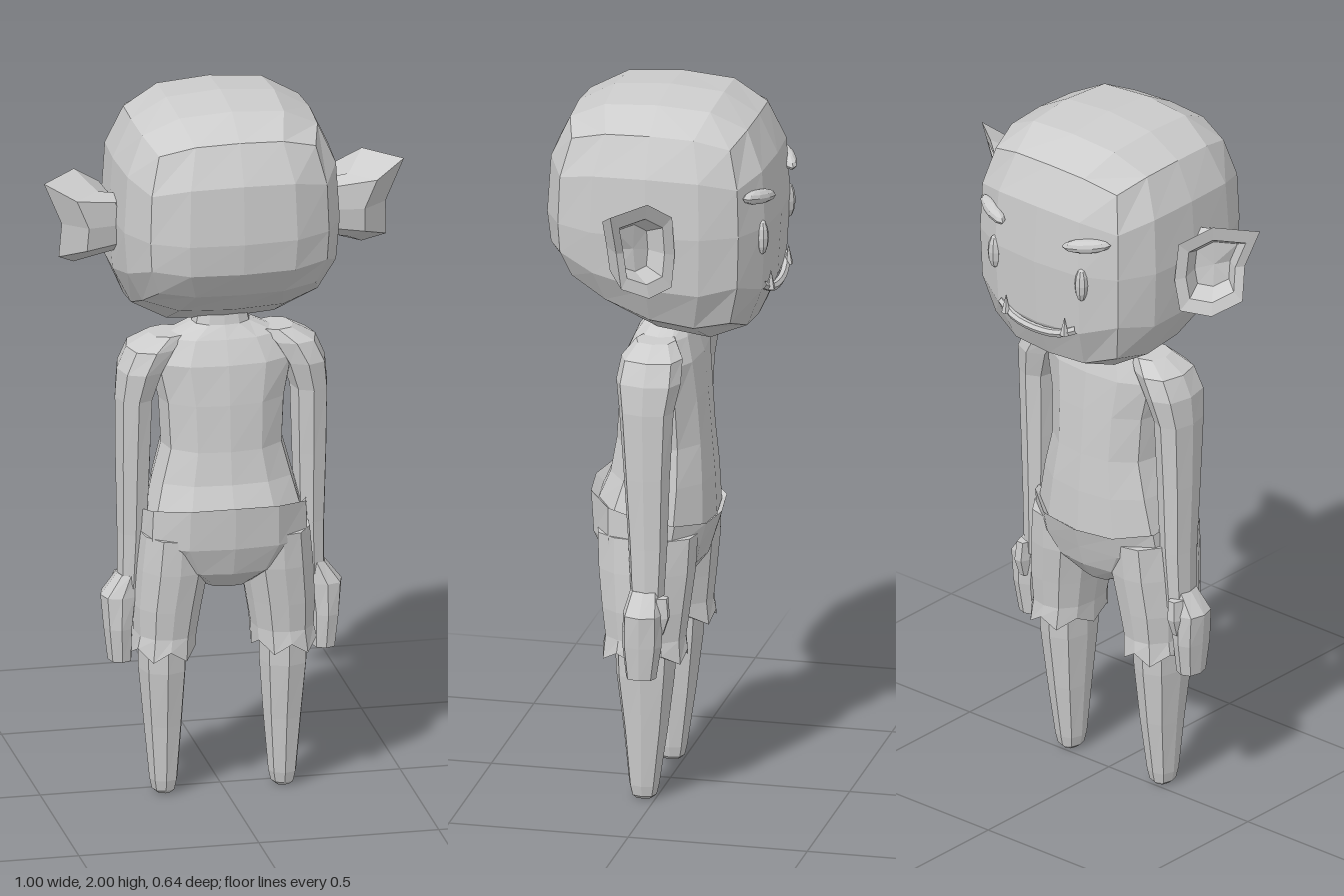
import * as THREE from 'three';
import { mergeVertices } from 'three/addons/utils/BufferGeometryUtils.js';

const V = (x, y, z) => new THREE.Vector3(x, y, z);

// Faceted normals
function flat(geo) {
  const g = geo.index ? geo.toNonIndexed() : geo;
  g.computeVertexNormals();
  return g;
}

// Rounded-square cross-section; tilt raises the +z side
function ring(x, y, z, rx, rz, tilt = 0, zigzag = 0, n = 12) {
  const pts = [];
  for (let i = 0; i < n; i++) {
    const a = (i / n) * Math.PI * 2;
    const c = Math.cos(a), s = Math.sin(a);
    const k = Math.pow(Math.abs(c) ** 2.5 + Math.abs(s) ** 2.5, -1 / 2.5);
    pts.push(V(x + rx * c * k, y + tilt * s + (i % 2 ? zigzag : -zigzag), z + rz * s * k));
  }
  return pts;
}

// Closed skin through a list of cross-sections, always facing outward
function loft(rings) {
  const tris = [], n = rings[0].length;
  const mid = (r) => r.reduce((m, p) => m.add(p), V(0, 0, 0)).divideScalar(n);
  const first = mid(rings[0]), last = mid(rings[rings.length - 1]);
  for (let j = 0; j < n; j++) {
    const k = (j + 1) % n;
    tris.push([first, rings[0][k], rings[0][j]]);
    for (let i = 0; i < rings.length - 1; i++) {
      const a = rings[i], b = rings[i + 1];
      tris.push([a[j], a[k], b[k]], [a[j], b[k], b[j]]);
    }
    const e = rings[rings.length - 1];
    tris.push([last, e[j], e[k]]);
  }
  let volume = 0;
  for (const [a, b, c] of tris) volume += a.dot(b.clone().cross(c));
  const pts = tris.flatMap(([a, b, c]) => (volume > 0 ? [a, b, c] : [a, c, b]));
  return flat(new THREE.BufferGeometry().setFromPoints(pts));
}

export function createModel() {
  const model = new THREE.Group();
  const clay = new THREE.MeshStandardMaterial({ color: 0xcccccc });
  clay.name = 'clay grey';

  const add = (name, geo) => {
    const mesh = new THREE.Mesh(geo, clay);
    mesh.name = name;
    model.add(mesh);
    return mesh;
  };

  // Head: a cube rounded by a power rule, with the back of the jaw swept up
  let head = new THREE.BoxGeometry(2, 2, 2, 4, 4, 4);
  head.deleteAttribute('normal');
  head.deleteAttribute('uv');
  head = mergeVertices(head);
  const pos = head.attributes.position;
  for (let i = 0; i < pos.count; i++) {
    const c = V(0, 0, 0).fromBufferAttribute(pos, i);
    const p = 3.1;
    c.divideScalar((Math.abs(c.x) ** p + Math.abs(c.y) ** p + Math.abs(c.z) ** p) ** (1 / p));
    const low = Math.max(0, -c.y);
    const jaw = low * c.z * (c.z > 0 ? 0.14 : 0.07);
    pos.setXYZ(i, c.x * 0.31, 1.66 + c.y * (c.y > 0 ? 0.34 : 0.32) + jaw, c.z * (c.z > 0 ? 0.32 : 0.31));
  }
  add('head', flat(head));

  // Torso and neck
  add('torso', loft([
    ring(0, 1.4, 0, 0.065, 0.05),
    ring(0, 1.34, 0, 0.08, 0.06),
    ring(0, 1.305, 0.005, 0.16, 0.08),
    ring(0, 1.24, 0.01, 0.2, 0.105),
    ring(0, 1.13, 0.012, 0.175, 0.118),
    ring(0, 1.0, 0.012, 0.168, 0.128),
    ring(0, 0.9, 0.015, 0.195, 0.14, 0.01),
    ring(0, 0.8, 0.03, 0.22, 0.16, 0.03),
  ]));

  // Shorts: seat with a sloping waistband
  add('shortsSeat', loft([
    ring(0, 0.8, 0.03, 0.215, 0.155, 0.04),
    ring(0, 0.82, 0.032, 0.232, 0.176, 0.04),
    ring(0, 0.73, 0.037, 0.236, 0.162, 0.01),
    ring(0, 0.66, 0.033, 0.17, 0.14),
    ring(0, 0.605, 0.025, 0.07, 0.09),
  ]));

  for (const s of [1, -1]) {
    const side = s > 0 ? 'left' : 'right';
    const R = (x, ...rest) => ring(s * x, ...rest);

    // Shorts leg with a jagged cuff
    add(side + 'ShortsLeg', loft([
      R(0.14, 0.76, 0.03, 0.095, 0.14),
      R(0.145, 0.66, 0.03, 0.1, 0.135),
      R(0.158, 0.55, 0.03, 0.093, 0.122),
      R(0.163, 0.47, 0.03, 0.085, 0.112),
      R(0.168, 0.42, 0.03, 0.088, 0.118, 0, 0.015),
      R(0.168, 0.43, 0.03, 0.066, 0.085),
    ]));

    // Tapering leg
    add(side + 'Leg', loft([
      R(0.168, 0.48, 0.028, 0.068, 0.088, 0, 0, 8),
      R(0.168, 0.36, 0.03, 0.066, 0.082, 0, 0, 8),
      R(0.166, 0.2, 0.03, 0.053, 0.062, 0, 0, 8),
      R(0.165, 0.04, 0.034, 0.039, 0.042, 0, 0, 8),
      R(0.165, 0.01, 0.034, 0.032, 0.035, 0, 0, 8),
      R(0.165, 0, 0.034, 0.02, 0.024, 0, 0, 8),
    ]));

    // Arm with sloping shoulder
    add(side + 'Arm', loft([
      R(0.15, 1.315, 0.005, 0.05, 0.055, 0, 0, 8),
      R(0.195, 1.28, 0.005, 0.068, 0.085, 0, 0, 8),
      R(0.226, 1.22, 0.008, 0.063, 0.09, 0, 0, 8),
      R(0.243, 1.14, 0.01, 0.052, 0.076, 0, 0, 8),
      R(0.245, 0.95, 0.008, 0.048, 0.064, 0, 0, 8),
      R(0.246, 0.75, 0.005, 0.042, 0.054, 0, 0, 8),
      R(0.252, 0.58, 0.005, 0.036, 0.045, 0, 0, 8),
    ]));

    // Hand and thumb
    add(side + 'Hand', loft([
      R(0.258, 0.63, 0.008, 0.03, 0.042, 0, 0, 8),
      R(0.285, 0.57, 0.01, 0.05, 0.055, 0, 0, 8),
      R(0.287, 0.48, 0.012, 0.04, 0.055, 0, 0, 8),
      R(0.283, 0.385, 0.015, 0.033, 0.042, 0, 0, 8),
    ]));
    add(side + 'Thumb', loft([
      R(0.272, 0.615, -0.03, 0.02, 0.028, 0, 0, 6),
      R(0.275, 0.56, -0.035, 0.022, 0.028, 0, 0, 6),
      R(0.275, 0.51, -0.028, 0.015, 0.018, 0, 0, 6),
    ]));

    // Pointed ear: hollow, rim and back joined to the head
    const rim = [
      V(0.5, 1.78, 0.05), V(0.4, 1.79, -0.03), V(0.32, 1.73, -0.08), V(0.31, 1.62, -0.085),
      V(0.325, 1.53, -0.08), V(0.4, 1.52, -0.035), V(0.455, 1.56, 0.03), V(0.45, 1.66, 0.045),
    ];
    const centre = V(0.39, 1.645, -0.02);
    const section = (scale, push) => rim.map((p) => {
      const q = p.clone().sub(centre).multiplyScalar(scale).add(centre).add(V(-0.6, 0, 0.8).multiplyScalar(push));
      q.x *= s;
      return q;
    });
    const base = section(0.55, 0.09).map((p) => V(p.x - s * 0.09, p.y, p.z - 0.02));
    add(side + 'Ear', loft([section(0.5, 0.05), section(0.7, 0.005), section(1, 0), section(0.68, 0.08), base]));

    // Eye and brow
    const eye = add(side + 'Eye', flat(new THREE.SphereGeometry(1, 8, 6)));
    eye.scale.set(0.021, 0.05, 0.018);
    eye.position.set(s * 0.155, 1.635, -0.293);
    eye.rotation.y = s * 0.4;
    const brow = add(side + 'Brow', flat(new THREE.SphereGeometry(1, 10, 6)));
    brow.scale.set(0.07, 0.02, 0.022);
    brow.position.set(s * 0.168, 1.755, -0.287);
    brow.rotation.set(0, -s * 0.45, s * 0.15);

    // Fang
    const fang = add(side + 'Fang', flat(new THREE.ConeGeometry(0.013, 0.055, 5)));
    fang.position.set(s * 0.105, 1.497, -0.305);
  }

  // Mouth
  const smile = new THREE.CatmullRomCurve3([
    V(-0.135, 1.49, -0.288), V(-0.08, 1.465, -0.3), V(0, 1.457, -0.305), V(0.08, 1.465, -0.3), V(0.135, 1.49, -0.288),
  ]);
  add('mouth', flat(new THREE.TubeGeometry(smile, 10, 0.012, 6)));

  return model;
}
